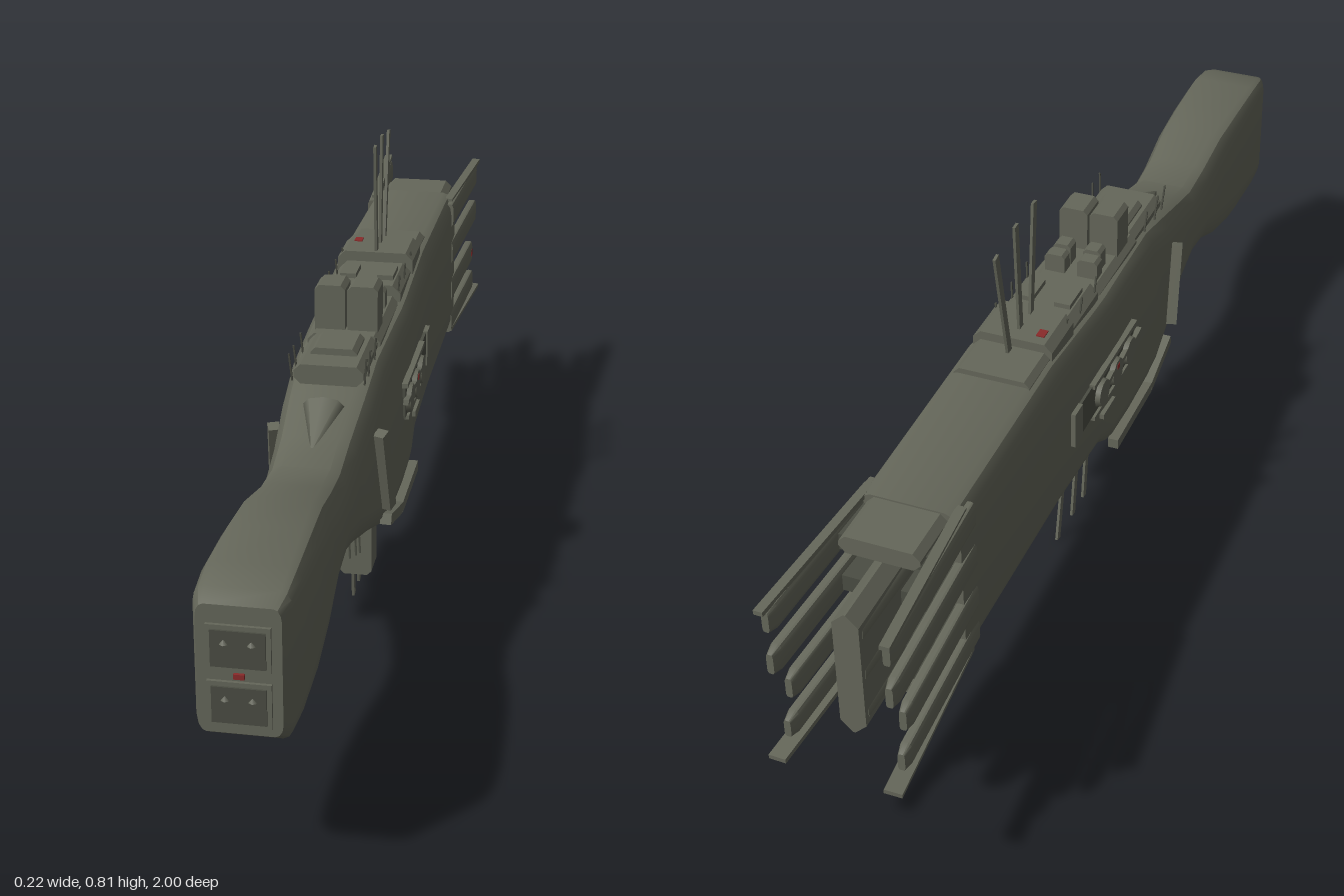
import * as THREE from 'three';
import { toCreasedNormals } from 'three/addons/utils/BufferGeometryUtils.js';

const olive = new THREE.MeshStandardMaterial({ color: 0x64665a });
olive.name = 'olive plating';
const dark = new THREE.MeshStandardMaterial({ color: 0x4b4d43 });
dark.name = 'dark recess';
const red = new THREE.MeshStandardMaterial({ color: 0x8a2a2a });
red.name = 'red marking';
olive.color.set(0x65675a);

export function createModel() {
  const root = new THREE.Group();
  root.name = 'warship';

  const add = (name, geo, mat = olive, parent = root) => {
    const m = new THREE.Mesh(geo, mat);
    m.name = name;
    parent.add(m);
    return m;
  };
  // box given by its minimum and maximum on each axis
  const box = (name, x0, x1, y0, y1, z0, z1, mat = olive) => {
    const m = add(name, new THREE.BoxGeometry(x1 - x0, y1 - y0, z1 - z0), mat);
    m.position.set((x0 + x1) / 2, (y0 + y1) / 2, (z0 + z1) / 2);
    return m;
  };
  // bar of section w by d stretched between two points
  const bar = (name, a, b, w, d, mat = olive) => {
    const p = new THREE.Vector3(...a), q = new THREE.Vector3(...b);
    const m = add(name, new THREE.BoxGeometry(w, p.distanceTo(q), d), mat);
    m.position.copy(p).add(q).multiplyScalar(0.5);
    m.quaternion.setFromUnitVectors(new THREE.Vector3(0, 1, 0), q.sub(p).normalize());
    return m;
  };
  // rounded box with its bevelled profile in the XY plane, extruded along z
  const bevelled = (name, x0, x1, y0, y1, z0, z1, c) => {
    const s = new THREE.Shape();
    s.moveTo(x0 + c, y0); s.lineTo(x1 - c, y0); s.lineTo(x1, y0 + c); s.lineTo(x1, y1 - c);
    s.lineTo(x1 - c, y1); s.lineTo(x0 + c, y1); s.lineTo(x0, y1 - c); s.lineTo(x0, y0 + c);
    const m = add(name, new THREE.ExtrudeGeometry(s, { depth: z1 - z0, bevelEnabled: false }));
    m.position.z = z0;
    return m;
  };
  // closed loft; station = [z, yBottom, yTop, wBottom, wLow, wHigh, wTop, cLow, cHigh]
  const loft = (stations, crease) => {
    const pos = [], idx = [];
    const rings = stations.map(([z, yb, yt, wb, wl, wh, wt, cl, ch]) => {
      const half = [];
      for (let i = 0; i <= 3; i++) {
        const t = (i / 3) * Math.PI / 2;
        half.push([wb + (wl - wb) * Math.sin(t), yb + cl * (1 - Math.cos(t))]);
      }
      for (let i = 0; i <= 3; i++) {
        const t = (i / 3) * Math.PI / 2;
        half.push([wt + (wh - wt) * Math.cos(t), yt - ch * (1 - Math.sin(t))]);
      }
      const ring = half.concat(half.slice().reverse().map(([x, y]) => [-x, y]));
      ring.forEach(([x, y]) => pos.push(x, y, z));
      return ring.length;
    });
    const n = rings[0], last = (stations.length - 1) * n;
    for (let s = 0; s < stations.length - 1; s++) {
      for (let i = 0; i < n; i++) {
        const a = s * n + i, b = s * n + (i + 1) % n, c = a + n, d = b + n;
        idx.push(a, c, b, b, c, d);
      }
    }
    [stations[0], stations[stations.length - 1]].forEach((s) => pos.push(0, (s[1] + s[2]) / 2, s[0]));
    for (let i = 0; i < n; i++) {
      const j = (i + 1) % n;
      idx.push(last + n, i, j, last + n + 1, last + j, last + i);
    }
    const g = new THREE.BufferGeometry();
    g.setAttribute('position', new THREE.Float32BufferAttribute(pos, 3));
    g.setIndex(idx);
    return toCreasedNormals(g, crease);
  };

  // main hull: blunt head, pinched neck, deep slab-sided body
  add('hull', loft([
    [0.99, 0.275, 0.48, 0.05, 0.062, 0.062, 0.05, 0.02, 0.02],
    [0.96, 0.255, 0.492, 0.055, 0.072, 0.072, 0.055, 0.03, 0.025],
    [0.90, 0.243, 0.5, 0.05, 0.076, 0.076, 0.055, 0.05, 0.035],
    [0.78, 0.23, 0.5, 0.035, 0.077, 0.077, 0.05, 0.08, 0.045],
    [0.68, 0.25, 0.496, 0.03, 0.076, 0.076, 0.045, 0.08, 0.055],
    [0.58, 0.293, 0.475, 0.03, 0.073, 0.073, 0.04, 0.06, 0.06],
    [0.50, 0.302, 0.468, 0.03, 0.071, 0.071, 0.04, 0.05, 0.06],
    [0.42, 0.288, 0.487, 0.035, 0.075, 0.074, 0.04, 0.05, 0.06],
    [0.31, 0.262, 0.52, 0.05, 0.088, 0.082, 0.045, 0.05, 0.06],
    [0.20, 0.225, 0.548, 0.06, 0.095, 0.085, 0.05, 0.05, 0.05],
    [0.05, 0.22, 0.553, 0.06, 0.096, 0.088, 0.055, 0.05, 0.045],
    [-0.04, 0.222, 0.555, 0.06, 0.095, 0.09, 0.058, 0.05, 0.045],
    [-0.10, 0.255, 0.56, 0.055, 0.092, 0.09, 0.06, 0.04, 0.045],
    [-0.30, 0.262, 0.58, 0.045, 0.09, 0.09, 0.062, 0.04, 0.05],
    [-0.71, 0.262, 0.57, 0.045, 0.09, 0.088, 0.062, 0.04, 0.04],
  ], 0.5), olive);

  // bow hatches: frame, recessed panel and two small cones each
  for (const y of [0.325, 0.415]) {
    box('bowHatchFrame', -0.047, 0.047, y - 0.036, y + 0.036, 0.97, 0.995);
    box('bowHatchPanel', -0.04, 0.04, y - 0.029, y + 0.029, 0.993, 0.998, dark);
    for (const x of [-0.02, 0.02]) {
      const c = add('bowEmitter', new THREE.ConeGeometry(0.007, 0.014, 6));
      c.position.set(x, y + 0.014, 0.995);
    }
  }
  box('bowMarking', -0.008, 0.008, 0.366, 0.374, 0.985, 0.995, red);

  // raised blister ahead of the deck
  const blister = add('foredeckBlister', new THREE.ConeGeometry(0.035, 0.12, 8));
  blister.scale.z = 0.5;
  blister.rotation.set(Math.PI / 2 + 0.3, 0, 0);
  blister.position.set(0, 0.494, 0.4);

  // upper deckhouses and launcher blocks
  bevelled('foreDeckhouse', -0.06, 0.06, 0.53, 0.565, 0.15, 0.3, 0.012);
  bevelled('foreDeckhouseTop', -0.04, 0.04, 0.555, 0.577, 0.17, 0.25, 0.008);
  bevelled('midDeck', -0.065, 0.065, 0.535, 0.565, -0.08, 0.15, 0.012);
  bevelled('aftDeckhouse', -0.068, 0.068, 0.54, 0.585, -0.2, -0.06, 0.015);
  bevelled('aftBridge', -0.072, 0.072, 0.54, 0.604, -0.29, -0.19, 0.014);
  bevelled('aftBridgeStep', -0.068, 0.068, 0.55, 0.588, -0.38, -0.29, 0.01);
  box('deckMarking', -0.05, -0.035, 0.603, 0.606, -0.27, -0.25, red);
  for (const s of [-1, 1]) {
    const lo = (a, b) => [Math.min(a * s, b * s), Math.max(a * s, b * s)];
    bevelled('upperLauncher', ...lo(0.002, 0.056), 0.54, 0.646, 0.07, 0.127, 0.008);
    bevelled('lowerLauncher', ...lo(0.002, 0.06), 0.13, 0.25, 0.157, 0.213, 0.008);
    bevelled('deckTurret', ...lo(0.012, 0.045), 0.55, 0.605, 0.012, 0.04, 0.006);
    bevelled('deckTurret', ...lo(0.012, 0.05), 0.55, 0.6, -0.018, 0.008, 0.006);
    box('deckVent', ...lo(0.02, 0.05), 0.58, 0.594, -0.15, -0.09);

    // thin whiskers round the deck and under the chin
    for (const z of [0.3, 0.26, 0.2, -0.07, -0.14, -0.21]) {
      const y = z > 0 ? 0.535 : 0.555;
      bar('deckWhisker', [s * 0.062, y, z], [s * 0.066, y + 0.05, z + 0.006], 0.003, 0.003, dark);
    }
    for (const z of [0.39, 0.33, 0.29])
      bar('chinWhisker', [s * 0.05, z * 0.4 + 0.145, z], [s * 0.055, z * 0.4 + 0.105, z + 0.015], 0.003, 0.003, dark);

    // broadside gun bay: dark opening, frame and guns
    box('gunBay', ...lo(0.088, 0.096), 0.372, 0.438, -0.245, 0.055, dark);
    box('bayFrameTop', ...lo(0.085, 0.101), 0.433, 0.442, -0.16, 0.06);
    box('bayFrameBottom', ...lo(0.085, 0.101), 0.364, 0.372, -0.16, 0.04);
    box('bayFrameAft', ...lo(0.085, 0.099), 0.37, 0.44, -0.25, -0.215);
    for (const z of [0.02, -0.05, -0.12]) {
      const g = add('broadsideTurret', new THREE.CylinderGeometry(0.026, 0.03, 0.016, 10));
      g.rotation.z = -s * Math.PI / 2;
      g.position.set(s * 0.097, 0.4, z);
      bar('broadsideBarrel', [s * 0.1, 0.405, z], [s * 0.1, 0.412, z + 0.055], 0.01, 0.01);
    }
    box('sideMarking', ...lo(0.104, 0.106), 0.408, 0.418, -0.055, -0.045, red);
    box('sideRail', ...lo(0.085, 0.1), 0.332, 0.342, -0.11, -0.05);

    // slanted strut and lower ledge
    bar('sideStrut', [s * 0.092, 0.455, 0.315], [s * 0.099, 0.3, 0.272], 0.02, 0.022);
    bar('lowerLedge', [s * 0.093, 0.268, 0.26], [s * 0.096, 0.235, 0.14], 0.02, 0.02);
    bar('lowerLedge', [s * 0.096, 0.235, 0.14], [s * 0.096, 0.232, -0.05], 0.02, 0.02);

    // stern blades, four on each flank
    const blades = [[0.535, 0.05, -0.99], [0.452, 0.05, -0.99], [0.367, 0.05, -0.95], [0.295, 0.045, -0.965]];
    for (const [y, h, end] of blades) {
      const b = add('sternBlade', loft([
        [-0.66, y - h / 2, y + h / 2, 0.004, 0.01, 0.01, 0.004, 0.012, 0.012],
        [end + 0.02, y - h / 2, y + h / 2, 0.004, 0.01, 0.01, 0.004, 0.012, 0.012],
        [end, y - h / 2 + 0.006, y + h / 2 - 0.006, 0.003, 0.006, 0.006, 0.003, 0.008, 0.008],
      ], 0.6));
      b.rotation.y = -s * 0.045;
      b.position.x = s * 0.052;
      box('bladeRoot', ...lo(0.02, 0.078), y - 0.015, y + 0.015, -0.79, -0.7, dark);
    }
    bar('keelBlade', [s * 0.075, 0.272, -0.68], [s * 0.097, 0.264, -1], 0.03, 0.008);
    bar('topBladeTip', [s * 0.078, 0.562, -0.68], [s * 0.1, 0.561, -1], 0.016, 0.008);
  }

  // stern core with its ribs and the overhanging top plate
  bevelled('sternCore', -0.022, 0.022, 0.29, 0.53, -0.93, -0.7, 0.02);
  for (const y of [0.33, 0.41, 0.49]) {
    const n = add('engineNozzle', new THREE.CylinderGeometry(0.03, 0.024, 0.22, 10));
    n.rotation.x = Math.PI / 2;
    n.position.set(0, y, -0.81);
  }
  bevelled('sternTopPlate', -0.068, 0.068, 0.535, 0.567, -0.81, -0.7, 0.012);
  box('sternBottomPlate', -0.06, 0.06, 0.263, 0.285, -0.8, -0.7);
  box('sternMarking', 0.107, 0.109, 0.36, 0.375, -0.93, -0.915, red).position.x = 0.103;

  // blade-thin masts above and below
  const masts = [
    [0.59, -0.207, 0.812, -0.186], [0.59, -0.253, 0.812, -0.266], [0.58, -0.303, 0.8, -0.349],
    [0.24, 0.083, 0.002, 0.05], [0.24, 0.03, 0.002, -0.01], [0.24, -0.035, 0.002, -0.089],
  ];
  for (const [y0, z0, y1, z1] of masts)
    bar('mast', [0, y0, z0], [0, y1, z1], 0.005, 0.015);

  return root;
}
